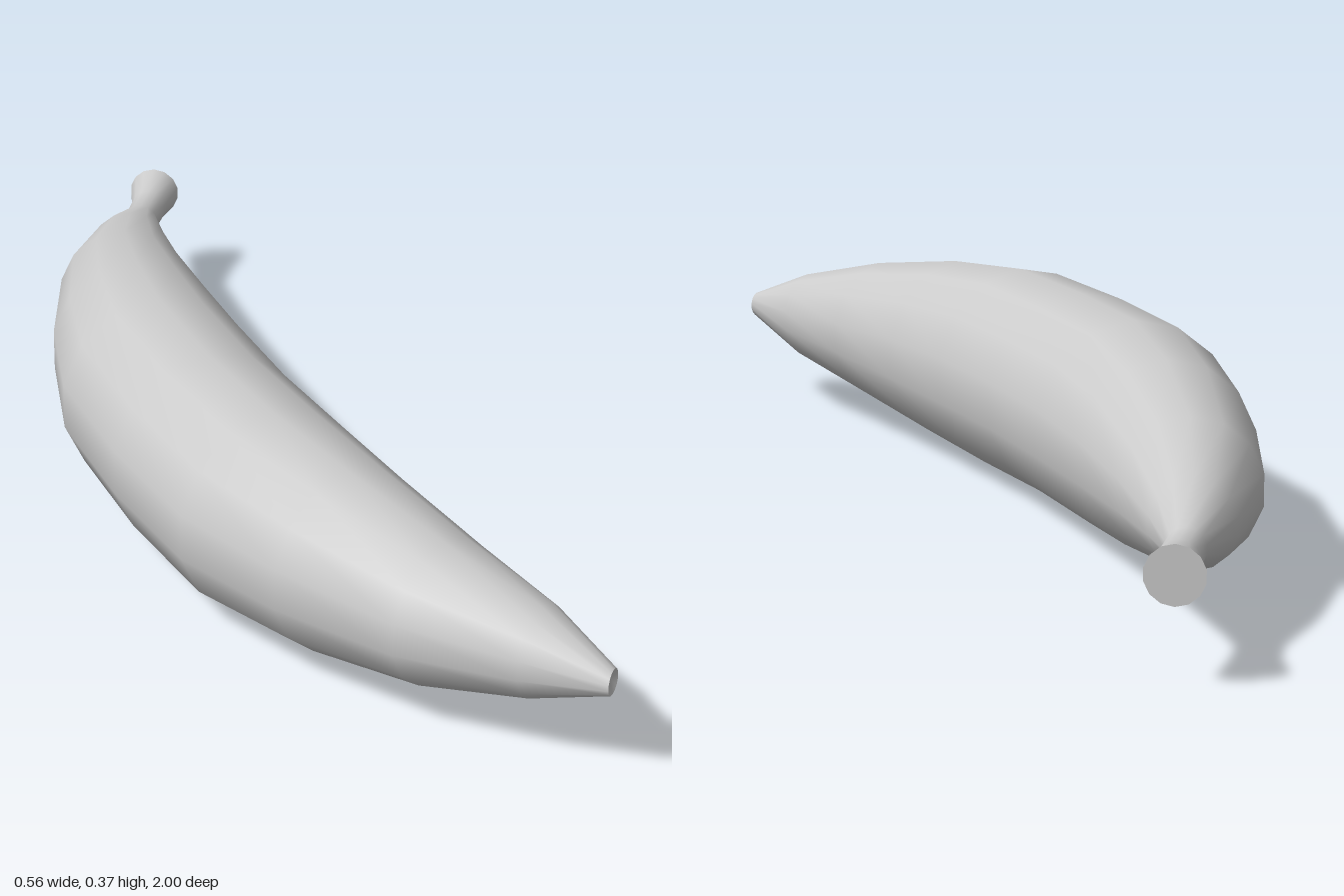
import * as THREE from 'three';

const SIDES = 14;
const MID_Y = 0.183;

// Cross-sections from blossom tip to stem end:
// outer-curve x, z, inner-curve x, z, half height
const SECTIONS = [
  [0.135, 0.998, 0.168, 0.97, 0.022],
  [0.034, 0.897, 0.156, 0.818, 0.078],
  [-0.098, 0.737, 0.122, 0.645, 0.125],
  [-0.2, 0.522, 0.094, 0.44, 0.163],
  [-0.267, 0.307, 0.08, 0.255, 0.183],
  [-0.28, 0.058, 0.073, 0.053, 0.183],
  [-0.267, -0.2, 0.08, -0.155, 0.183],
  [-0.2, -0.413, 0.096, -0.34, 0.163],
  [-0.098, -0.628, 0.122, -0.54, 0.122],
  [0.034, -0.79, 0.156, -0.72, 0.073],
  [0.135, -0.878, 0.186, -0.84, 0.033],
  [0.172, -0.93, 0.228, -0.895, 0.034],
  [0.2, -1.0, 0.278, -0.95, 0.048],
];

// Points of one oval ring; a vertex lies at top and bottom, a flat at each side
function ring([ox, oz, ix, iz, h]) {
  const reach = 1 / Math.cos(Math.PI / SIDES);
  return Array.from({ length: SIDES }, (_, k) => {
    const a = ((k + 0.5) / SIDES) * Math.PI * 2;
    const c = (Math.cos(a) * reach) / 2;
    return [
      (ox + ix) / 2 + c * (ix - ox),
      MID_Y + h * Math.sin(a),
      (oz + iz) / 2 + c * (iz - oz),
    ];
  });
}

function makeMesh(name, points, index, material) {
  const geometry = new THREE.BufferGeometry();
  geometry.setAttribute('position', new THREE.Float32BufferAttribute(points.flat(), 3));
  geometry.setIndex(index);
  geometry.computeVertexNormals();
  const mesh = new THREE.Mesh(geometry, material);
  mesh.name = name;
  return mesh;
}

// Fan closing one end; depth pushes the centre along z
function endCap(name, section, flip, depth, material) {
  const centre = [(section[0] + section[2]) / 2, MID_Y, (section[1] + section[3]) / 2 + depth];
  const index = [];
  for (let k = 0; k < SIDES; k++) {
    const a = k + 1, b = ((k + 1) % SIDES) + 1;
    index.push(0, ...(flip ? [b, a] : [a, b]));
  }
  return makeMesh(name, [centre, ...ring(section)], index, material);
}

export function createModel() {
  const material = new THREE.MeshStandardMaterial({ color: 0xcccccc, side: THREE.DoubleSide });
  const group = new THREE.Group();
  group.name = 'banana';

  // Curved fruit and flared stem, lofted through the rings
  const index = [];
  for (let i = 0; i < SECTIONS.length - 1; i++) {
    for (let k = 0; k < SIDES; k++) {
      const next = (k + 1) % SIDES;
      const a = i * SIDES + k, b = i * SIDES + next;
      const c = a + SIDES, d = b + SIDES;
      index.push(a, c, b, b, c, d);
    }
  }
  group.add(makeMesh('peel', SECTIONS.flatMap(ring), index, material));

  // Slightly dimpled tip and flat stem end
  group.add(endCap('blossomTip', SECTIONS[0], false, -0.01, material));
  group.add(endCap('stemEnd', SECTIONS[SECTIONS.length - 1], true, 0, material));
  return group;
}
